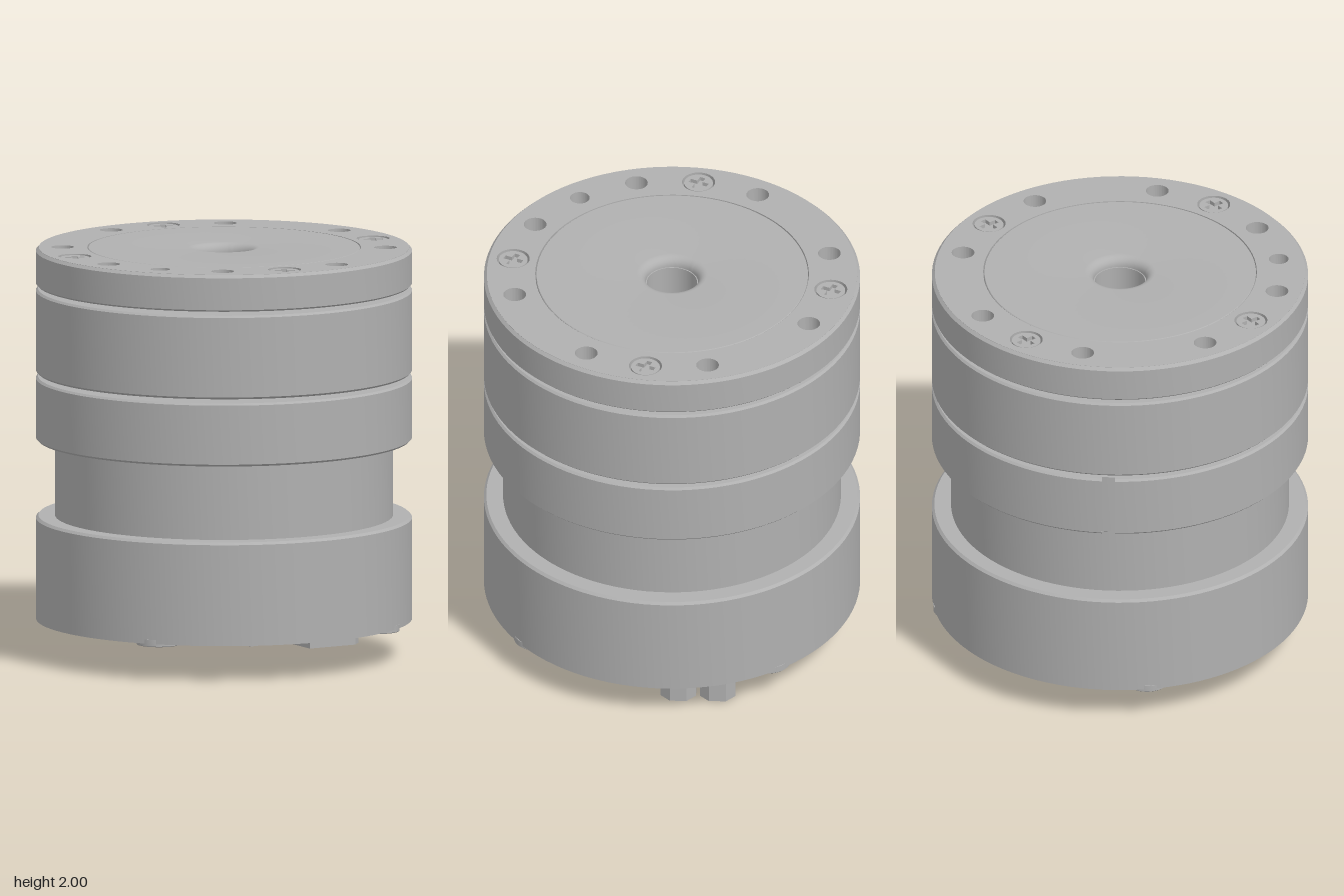
import * as THREE from 'three';
import { toCreasedNormals } from 'three/addons/utils/BufferGeometryUtils.js';

const TAU = Math.PI * 2;
const BORE = 0.127;

export function createModel() {
  const model = new THREE.Group();
  const grey = new THREE.MeshStandardMaterial({ color: 0xb0b0b0, side: THREE.DoubleSide });
  grey.name = 'metal grey';

  const add = (name, geometry, parent = model, x = 0, y = 0, z = 0) => {
    const mesh = new THREE.Mesh(geometry, grey);
    mesh.name = name;
    mesh.position.set(x, y, z);
    parent.add(mesh);
    return mesh;
  };
  // Closed profile turned about the y axis
  const turned = (points, segments = 96, start = 0, length = TAU) => {
    const p = [...points, points[0]].map(([r, y]) => new THREE.Vector2(r, y));
    return toCreasedNormals(new THREE.LatheGeometry(p, segments, start, length), 0.5);
  };
  // Drum with small chamfers on its outer edges
  const drumProfile = (r, y0, y1, inner = BORE, c = 0.01) => [
    [inner, y0], [r - c, y0], [r, y0 + c], [r, y1 - c], [r - c, y1], [inner, y1]];
  // Flat plate: outline in x,z, reaching from top down by depth
  const plate = (shape, top, depth) => toCreasedNormals(
    new THREE.ExtrudeGeometry(shape, { depth, bevelEnabled: false, curveSegments: 48 })
      .rotateX(Math.PI / 2).translate(0, top, 0), 0.5);
  const disc = (r, x = 0, z = 0) => {
    const s = new THREE.Shape();
    s.absarc(x, z, r, 0, TAU, false);
    return s;
  };
  const poly = (pts) => new THREE.Shape(pts.map(([x, y]) => new THREE.Vector2(x, y)));
  const rect = (x, z, w, d) => poly([
    [x - w / 2, z - d / 2], [x + w / 2, z - d / 2], [x + w / 2, z + d / 2], [x - w / 2, z + d / 2]]);
  const cross = (a, b) => poly([
    [a, -b], [a, b], [b, b], [b, a], [-b, a], [-b, b], [-a, b], [-a, -b], [-b, -b], [-b, -a], [b, -a], [b, -b]]);
  const quarterTurns = (x, z) => [[x, z], [-z, x], [-x, -z], [z, -x]];
  // Phillips screw head
  const screw = (name, r, top, parent, x, z) => {
    const head = disc(r);
    head.holes.push(cross(r * 0.68, r * 0.2));
    const m = add(name, plate(head, 0, 0.02), parent, x, top, z);
    m.rotation.y = 0.35;
    return m;
  };

  // Body drums
  add('upperDrum', turned(drumProfile(0.913, 1.39, 1.8)));
  add('neck', turned(drumProfile(0.82, 0.67, 1.08)));
  add('baseDrum', turned([[BORE, 0.24], [0.895, 0.24], [0.895, 0.18], [0.913, 0.18],
    [0.913, 0.675], [0.901, 0.687], [BORE, 0.687]]));

  // Slotted middle ring around its core
  const slot = 4.34, half = 0.035;
  add('middleRing', turned(drumProfile(0.913, 1.06, 1.37, 0.88), 96, slot + half, TAU - 2 * half));
  add('middleCore', turned(drumProfile(0.885, 1.06, 1.37, BORE, 0.002)));

  // Hollow shaft through the whole body
  add('hollowShaft', turned([[0.122, 0.172], [0.145, 0.165], [0.165, 0.165], [0.165, 0.2],
    [0.127, 0.2], [0.127, 1.95], [0.122, 1.95]], 48));

  // Top flange with rounded bore edge and a fine seam
  const fillet = [0, 1, 2, 3, 4, 5, 6].map((i) => {
    const a = (i / 6) * Math.PI / 2;
    return [0.172 - 0.045 * Math.sin(a), 1.955 + 0.045 * Math.cos(a)];
  });
  add('topFlange', turned([[BORE, 1.82], [0.905, 1.82], [0.913, 1.828], [0.913, 1.985],
    [0.898, 2], [0.898, 1.92], [0.66, 1.92], [0.66, 1.997], [0.657, 2], ...fillet]));

  const mountRing = disc(0.899);
  mountRing.holes.push(disc(0.664));
  const screwSpots = quarterTurns(0.627, -0.466);
  const holeSpots = [...quarterTurns(0.76, -0.19), ...quarterTurns(0.67, 0.405)];
  for (const [x, z] of screwSpots) mountRing.holes.push(disc(0.08, x, z));
  for (const [x, z] of holeSpots) mountRing.holes.push(disc(0.055, x, z));
  mountRing.holes.push(disc(0.048, -0.12, 0.77));
  add('mountingRing', plate(mountRing, 2, 0.08));
  for (const [x, z] of screwSpots) {
    screw('topScrew', 0.07, 1.995, model, x, z);
    add('topScrewShank', new THREE.CylinderGeometry(0.07, 0.07, 0.055, 32), model, x, 1.9475, z);
  }

  // Underside, turned 135 degrees so its parts line up with the connectors
  const underside = new THREE.Group();
  underside.name = 'underside';
  underside.rotation.y = Math.PI * 0.75;
  model.add(underside);

  const board = disc(0.899);
  board.holes.push(disc(BORE), rect(0, -0.78, 0.5, 0.13));
  add('circuitBoard', plate(board, 0.24, 0.06), underside);

  // Small open-faced sockets with pins
  const socket = (x, z, turn) => {
    const g = new THREE.Group();
    g.name = 'signalSocket';
    g.position.set(x, 0, z);
    g.rotation.y = turn;
    underside.add(g);
    const shell = rect(0, 0, 0.16, 0.09);
    shell.holes.push(rect(0, 0, 0.13, 0.06));
    add('socketShell', plate(shell, 0.21, 0.042), g);
    for (let i = -1; i <= 1; i++) {
      add('socketPin', new THREE.BoxGeometry(0.014, 0.03, 0.03), g, i * 0.04, 0.185, 0);
    }
  };
  socket(-0.12, -0.75, 0);
  socket(0.12, -0.75, 0);
  socket(-0.71, -0.28, 0.08);
  socket(-0.53, -0.265, 0.08);

  // Chips
  add('squareChip', new THREE.BoxGeometry(0.19, 0.015, 0.17), underside, -0.42, 0.175, 0.157).rotation.y = 0.35;
  add('sideChip', new THREE.BoxGeometry(0.13, 0.015, 0.24), underside, 0.49, 0.175, -0.48).rotation.y = 0.3;

  // Power connectors with chamfered ends, hollow, two pins each
  for (const u of [0.045, 0.235]) {
    const outline = (w, l, c) => poly([
      [-w, -l], [w, -l], [w, l - c], [w - c, l], [c - w, l], [-w, l - c]]);
    const shell = outline(0.086, 0.15, 0.045);
    shell.holes.push(outline(0.062, 0.125, 0.035));
    add('powerConnector', plate(shell, 0.18, 0.18), underside, u, 0, 0.61);
    add('powerConnectorFloor', plate(outline(0.07, 0.135, 0.04), 0.18, 0.05), underside, u, 0, 0.61);
    for (const v of [-0.06, 0.06]) {
      add('powerPin', new THREE.CylinderGeometry(0.03, 0.03, 0.1, 20), underside, u, 0.08, 0.61 + v);
    }
  }

  // Mounting feet and board screws
  for (const [x, z] of quarterTurns(0.8, 0.12)) {
    add('mountingFoot', turned([[0.05, 0.165], [0.105, 0.165], [0.108, 0.168], [0.108, 0.2], [0.05, 0.2]], 32), model, x, 0, z);
  }
  for (const [x, z] of [[0.68, -0.41], [-0.7, -0.37], [0.01, 0.79]]) {
    screw('boardScrew', 0.055, 0.174, model, x, z).rotation.x = Math.PI;
  }
  return model;
}
